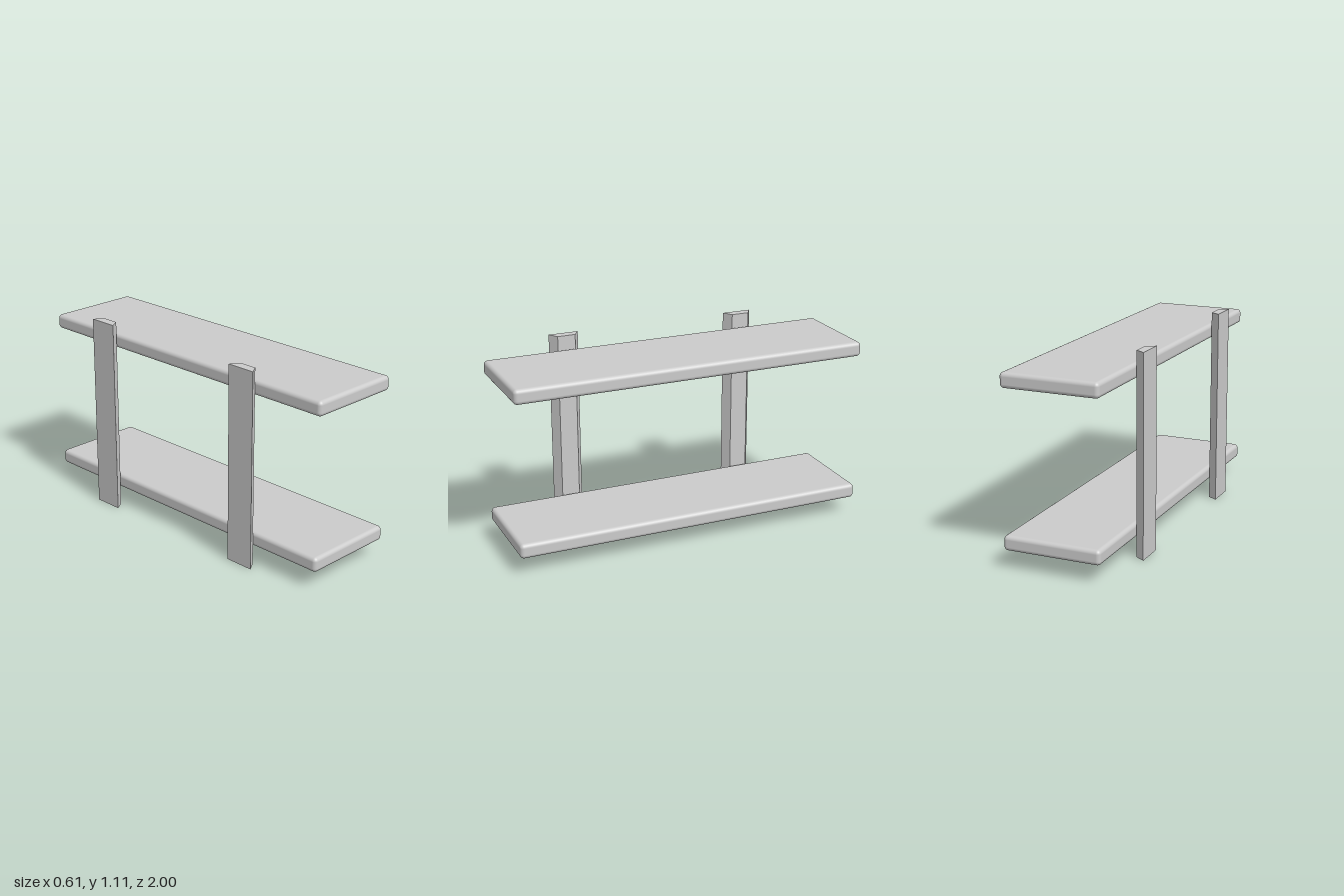
import * as THREE from 'three';
import { RoundedBoxGeometry } from 'three/addons/geometries/RoundedBoxGeometry.js';

const material = new THREE.MeshStandardMaterial({ color: 0xcccccc });

// Upright with a trapezoid section: wide at the wall, narrow towards the shelves
function createPost(z, name) {
  const height = 1.105;
  const section = new THREE.Shape([
    new THREE.Vector2(-0.303, -0.084),
    new THREE.Vector2(-0.25, -0.05),
    new THREE.Vector2(-0.25, 0.05),
    new THREE.Vector2(-0.303, 0.084),
  ]);
  const geometry = new THREE.ExtrudeGeometry(section, { depth: height, bevelEnabled: false });
  geometry.rotateX(-Math.PI / 2);
  const post = new THREE.Mesh(geometry, material);
  post.position.z = z;
  post.name = name;
  return post;
}

// Long board with softly rounded edges
function createShelf(y, name) {
  const shelf = new THREE.Mesh(new RoundedBoxGeometry(0.543, 0.082, 2, 4, 0.022), material);
  shelf.position.set(0.0305, y, 0);
  shelf.name = name;
  return shelf;
}

export function createModel() {
  const group = new THREE.Group();
  group.name = 'wallShelf';
  group.add(
    createShelf(0.14, 'lowerShelf'),
    createShelf(0.991, 'upperShelf'),
    createPost(0.525, 'frontPost'),
    createPost(-0.525, 'backPost'),
  );
  return group;
}
